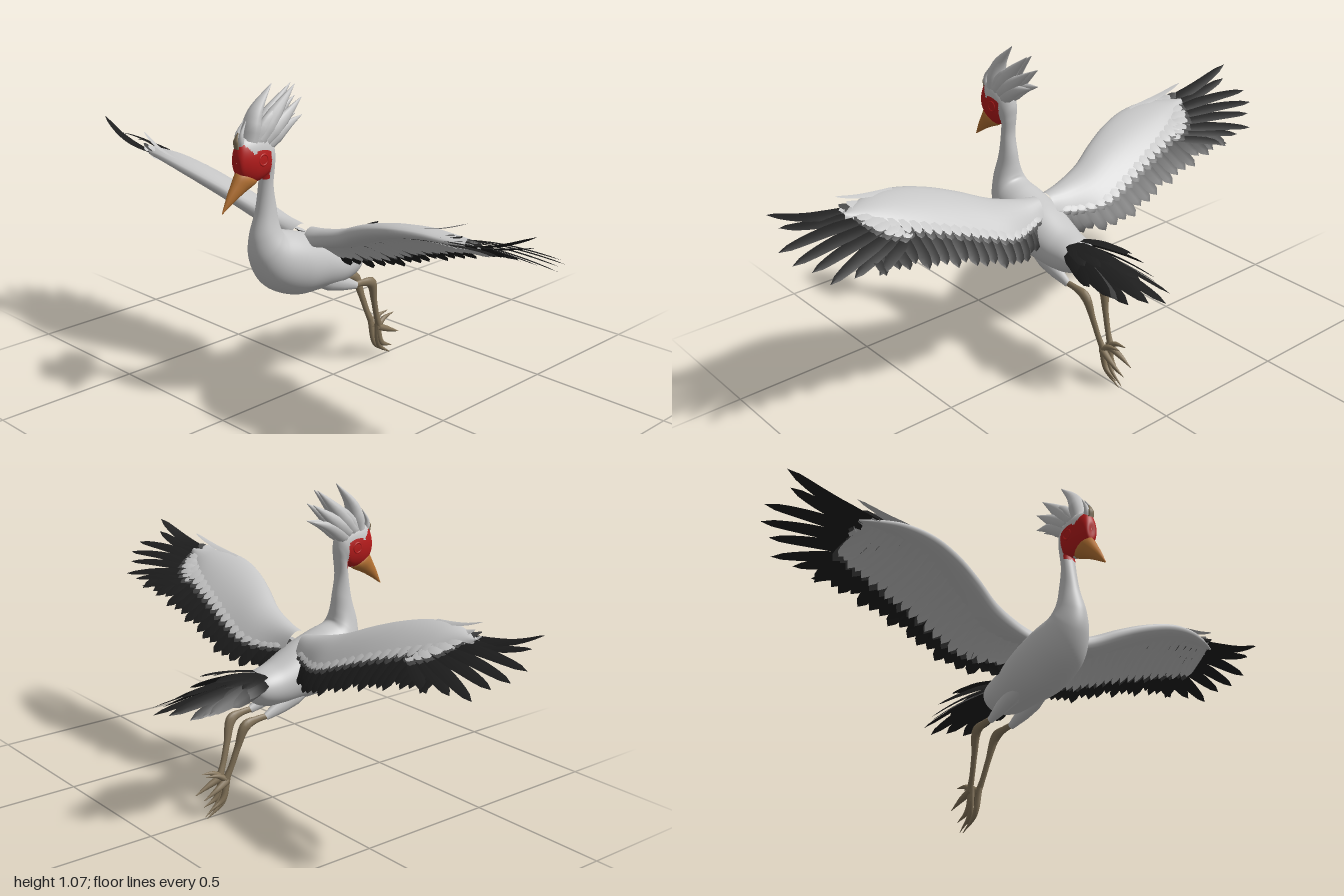
import * as THREE from 'three';
import { mergeGeometries } from 'three/addons/utils/BufferGeometryUtils.js';

const V = (x, y, z) => new THREE.Vector3(x, y, z);
const mat = (name, color, side = THREE.FrontSide) => {
  const m = new THREE.MeshStandardMaterial({ color, side });
  m.name = name;
  return m;
};

// Closed skin from a rule point(t, a); faces chosen by isAlt go to a second material group
function loft(n, m, point, isAlt) {
  const pos = [], main = [], alt = [], pts = [];
  for (let i = 0; i <= n; i++) for (let j = 0; j < m; j++) {
    const p = point(i / n, (j / m) * Math.PI * 2);
    pts.push(p);
    pos.push(p.x, p.y, p.z);
  }
  for (let i = 0; i < n; i++) for (let j = 0; j < m; j++) {
    const a = i * m + j, b = i * m + (j + 1) % m, c = a + m, d = b + m;
    const mid = pts[a].clone().add(pts[d]).multiplyScalar(0.5);
    (isAlt && isAlt(mid) ? alt : main).push(a, c, b, b, c, d);
  }
  const g = new THREE.BufferGeometry();
  g.setAttribute('position', new THREE.Float32BufferAttribute(pos, 3));
  g.setIndex([...main, ...alt]);
  if (isAlt) {
    g.addGroup(0, main.length, 0);
    g.addGroup(main.length, alt.length, 1);
  }
  g.computeVertexNormals();
  return g;
}

// Skin between an upper and a lower side line: rows are [z, y, z, y, halfWidth]
function bodyLoft(rows, n, m, isAlt) {
  const top = new THREE.CatmullRomCurve3(rows.map(r => V(r[4], r[1], r[0])));
  const low = new THREE.CatmullRomCurve3(rows.map(r => V(r[4], r[3], r[2])));
  return loft(n, m, (t, a) => {
    const p = top.getPoint(t), q = low.getPoint(t), c = Math.cos(a);
    return V(Math.sin(a) * p.x, (p.y + q.y) / 2 + c * (p.y - q.y) / 2, (p.z + q.z) / 2 + c * (p.z - q.z) / 2);
  }, isAlt);
}

// Tapered limb or spike along a curve; radii are spread evenly, flat scales its sideways width
function limb(points, radii, flat = 1, n = 12, m = 10) {
  const curve = new THREE.CatmullRomCurve3(points.map(p => V(...p)));
  return loft(n, m, (t, a) => {
    const u = curve.getTangent(t).cross(V(1, 0, 0)).normalize();
    const k = t * (radii.length - 1), i = Math.min(Math.floor(k), radii.length - 2);
    const r = THREE.MathUtils.lerp(radii[i], radii[i + 1], k - i);
    return curve.getPoint(t).addScaledVector(u, r * Math.cos(a)).add(V(r * flat * Math.sin(a), 0, 0));
  });
}

// Thin ridged feather from base to tip; bow lifts its middle, a higher blunt gives a rounder tip
function feather(base, tip, width, normal, bow = 0, blunt = 7) {
  const n = 10, pos = [], idx = [], nn = normal.clone().normalize();
  const side = nn.clone().cross(tip.clone().sub(base)).normalize();
  for (let i = 0; i <= n; i++) {
    const s = i / n;
    const c = base.clone().lerp(tip, s).addScaledVector(nn, bow * Math.sin(Math.PI * s));
    const w = width * 0.5 * Math.min(1, 0.55 + 1.2 * s) * Math.sqrt(1 - s ** blunt);
    for (const k of [-1, 0, 1]) {
      const p = c.clone().addScaledVector(side, k * w).addScaledVector(nn, k ? 0 : w * 0.15);
      pos.push(p.x, p.y, p.z);
    }
    if (i < n) for (const k of [0, 1]) {
      const a = i * 3 + k;
      idx.push(a, a + 1, a + 3, a + 1, a + 4, a + 3);
    }
  }
  const g = new THREE.BufferGeometry();
  g.setAttribute('position', new THREE.Float32BufferAttribute(pos, 3));
  g.setIndex(idx);
  g.computeVertexNormals();
  return g;
}

function mirrored(g) {
  const c = g.clone().scale(-1, 1, 1), ix = c.index.array;
  for (let i = 0; i < ix.length; i += 3) [ix[i], ix[i + 1]] = [ix[i + 1], ix[i]];
  return c;
}

export function createModel() {
  const root = new THREE.Group();
  root.name = 'bird';
  const white = mat('pale plumage', 0xc6c6c6), pale = mat('pale feathers', 0xc6c6c6, THREE.DoubleSide);
  const black = mat('black feathers', 0x1e1e1e, THREE.DoubleSide);
  const grey = mat('dark grey feathers', 0x484848, THREE.DoubleSide);
  const red = mat('red skin', 0xb81c1c), orange = mat('beak orange', 0xb87434), tan = mat('leg brown', 0x84745a);
  const add = (name, g, m) => {
    const mesh = new THREE.Mesh(g, m);
    mesh.name = name;
    root.add(mesh);
  };
  const pair = (name, g, m) => {
    add(name + 'Left', g, m);
    add(name + 'Right', mirrored(g), m);
  };

  // Body, neck and head in one skin, with a red face
  const isFace = ({ y, z }) => z > .303 && y > .772 &&
    y < (z < .37 ? .832 + Math.sqrt(Math.max(0, .045 ** 2 - (z - .34) ** 2)) : .864 + (z - .37) * 1.1);
  add('bodyAndHead', bodyLoft([
    [-.11, .425, -.108, .405, .025], [-.08, .465, -.08, .365, .06], [0, .492, 0, .342, .08],
    [.1, .54, .1, .346, .092], [.2, .575, .2, .355, .094], [.248, .59, .305, .41, .08],
    [.255, .605, .355, .5, .062], [.26, .635, .36, .575, .045], [.265, .68, .337, .66, .032],
    [.275, .75, .322, .74, .026], [.27, .81, .316, .785, .028], [.268, .855, .32, .778, .031],
    [.28, .893, .328, .772, .036], [.32, .92, .345, .768, .039], [.37, .92, .365, .768, .038],
    [.405, .905, .392, .778, .031], [.42, .87, .414, .8, .02], [.419, .842, .418, .838, .001],
  ], 200, 64, isFace), [white, red]);
  pair('eyeRim', new THREE.TorusGeometry(.017, .004, 8, 20).rotateY(Math.PI / 2).translate(.036, .843, .338), red);

  // Beak
  add('beak', bodyLoft([
    [.405, .825, .33, .778, .018], [.42, .805, .345, .764, .027], [.437, .775, .39, .743, .021],
    [.456, .742, .428, .722, .013], [.48, .692, .478, .69, .001],
  ], 20, 16), orange);

  // Crest of broad curved spikes
  const spikes = [
    [[0, .9, .365], [0, .985, .338], [0, 1.067, .268], .026, 1.25], [[.008, .9, .335], [.012, .975, .265], [.01, 1.054, .18], .028, .9],
    [[.012, .895, .315], [.018, .95, .24], [.016, 1.01, .156], .026, .8], [[.012, .88, .3], [.018, .925, .232], [.016, .952, .155], .023, .8],
    [[.01, .895, .345], [.016, .96, .295], [.016, 1.01, .225], .024, .8], [[.006, .885, .402], [.009, .925, .403], [.006, .968, .38], .009, 1],
  ];
  spikes.forEach(([a, b, c, r, flat], i) => {
    const g = limb([a, b, c], [r, r * 1.1, r * .85, r * .45, .0008], flat);
    if (i) pair('crestSpike' + i, g, white);
    else add('crestSpike0', g, white);
  });
  add('browTuft', limb([[0, .885, .415], [0, .908, .418], [0, .935, .408]], [.005, .005, .0008], 2.2), tan);

  // Legs trailing backwards, with four toes each
  pair('thigh', limb([[.04, .395, .11], [.044, .362, .03], [.043, .325, -.065]], [.028, .033, .026, .013], .8), white);
  pair('leg', mergeGeometries([
    limb([[.043, .328, -.04], [.042, .325, -.1], [.04, .312, -.145], [.03, .24, -.17], [.022, .17, -.193], [.016, .12, -.215]],
      [.01, .012, .02, .012, .011, .014], .75, 24),
    limb([[.016, .13, -.21], [.015, .148, -.24], [.014, .156, -.288]], [.012, .008, .001]),
    limb([[.016, .125, -.205], [.023, .105, -.25], [.025, .08, -.305]], [.014, .01, .001]),
    limb([[.016, .13, -.205], [.016, .06, -.225], [.018, .033, -.277]], [.012, .011, .001], .8),
    limb([[.016, .14, -.203], [.01, .05, -.219], [.006, .002, -.28]], [.012, .01, .001], .8),
  ]), tan);

  // Wing stations: x, then z and y of the leading edge, the covert edge and the trailing edge
  const st = [
    [.03, .165, .55, .075, .52, .055, .46], [.1, .168, .568, .05, .505, .02, .44], [.2, .185, .6, .015, .513, -.03, .45],
    [.3, .22, .645, .022, .55, -.035, .485], [.4, .25, .682, .037, .59, -.03, .525], [.5, .265, .707, .057, .625, -.03, .555],
    [.6, .257, .717, .09, .655, -.03, .59], [.68, .235, .712, .135, .675, -.025, .605], [.735, .21, .706, .18, .694, -.01, .62],
  ];
  const edge = k => new THREE.CatmullRomCurve3(st.map(r => V(r[0], r[k + 1], r[k])));
  const lead = edge(1), covert = edge(3), trail = edge(5), up = V(-.25, 1, -.5).normalize();
  pair('wingArm', loft(40, 28, (t, a) => {
    const s = (1 - Math.cos(a)) / 2, deep = Math.sin(a) < 0 ? 1.6 : 1;
    const h = Math.sin(a) * (.004 + .034 * deep * (1 - s)) * (1 - .75 * t * t) + .015 * Math.sin(Math.PI * s);
    return lead.getPoint(t).lerp(covert.getPoint(t), s).addScaledVector(up, h);
  }), white);

  // Rows of wing feathers, from root to wrist
  const row = (count, from, to, width, lift, out) => mergeGeometries(Array.from({ length: count }, (_, i) => {
    const t = .06 + .84 * i / (count - 1), c = covert.getPoint(t), l = lead.getPoint(t), e = trail.getPoint(t);
    const at = k => (k < 0 ? c.clone().lerp(l, -k) : c.clone().lerp(e, k)).addScaledVector(up, lift);
    const wave = 1 + .1 * Math.sin(i * 2.4);
    return feather(at(from), at(to * wave).add(V(out * (.4 + t), 0, 0)), width, up, .004);
  }));
  pair('secondaryFeathers', row(20, -.4, 1, .052, -.002, .035), black);
  pair('greyCoverts', row(22, -.3, .2, .036, .007, .02), grey);
  pair('paleCoverts', row(22, -.5, .06, .036, .011, .02), pale);
  pair('underCoverts', row(20, -.6, .48, .044, -.01, .03), grey);
  pair('paleUnderCoverts', row(22, -.75, .38, .042, -.017, .025), pale);

  // Fanned primaries at the wing tip
  const primaries = [
    [.64, .705, .22, .98, .788, .207, -.026], [.64, .7, .195, .955, .745, .185, -.016], [.64, .69, .165, 1, .705, .118, .012],
    [.63, .68, .14, .985, .675, .07, .012], [.62, .67, .115, .94, .65, .04, .01], [.6, .66, .1, .908, .615, -.002, .01],
    [.59, .65, .09, .83, .612, -.01, .008], [.57, .64, .08, .755, .602, -.028, .006],
  ];
  const fan = (k, width, lift, blunt) => mergeGeometries(primaries.map(p => {
    const a = V(p[0], p[1] + lift, p[2]), b = V(p[3], p[4] + lift, p[5]);
    return feather(a, a.clone().lerp(b, k), width, V(-.15, 1, -.35), p[6] * k, blunt);
  }));
  pair('primaryFeathers', fan(1, .048, 0, 3), black);
  pair('primaryGreyCoverts', fan(.27, .036, .006, 6), grey);
  pair('primaryPaleCoverts', fan(.18, .038, .011, 6), pale);
  pair('primaryPaleUnderCoverts', fan(.27, .034, -.008, 6), pale);
  pair('wristFeather', feather(V(.52, .72, .24), V(.745, .772, .21), .026, V(-.2, 1, -.3), -.012, 2), pale);

  // Tail fan: drooping lower feathers and shorter upper ones, as base x, tip x, y, z, width
  const tail = (rows, y, droop) => mergeGeometries(rows.flatMap(([bx, x, ty, z, w]) => {
    const g = feather(V(bx, y, -.05), V(x, ty, z), w, V(droop * x, 1, 0), .008, 3.5);
    return x ? [g, mirrored(g)] : [g];
  }));
  add('tailLong', tail([[0, 0, .414, -.48, .05], [.015, .047, .42, -.45, .05], [.025, .077, .4, -.39, .052],
    [.03, .097, .41, -.33, .052], [.035, .122, .425, -.255, .05], [.04, .1, .435, -.2, .05]], .448, 9), black);
  add('tailGrey', tail([[.028, .086, .404, -.35, .046]], .44, 9), grey);
  add('tailUpper', tail([[0, 0, .45, -.36, .05], [.015, .04, .49, -.265, .045], [.025, .07, .475, -.25, .045],
    [.03, .085, .46, -.19, .042]], .465, 4), black);
  return root;
}
